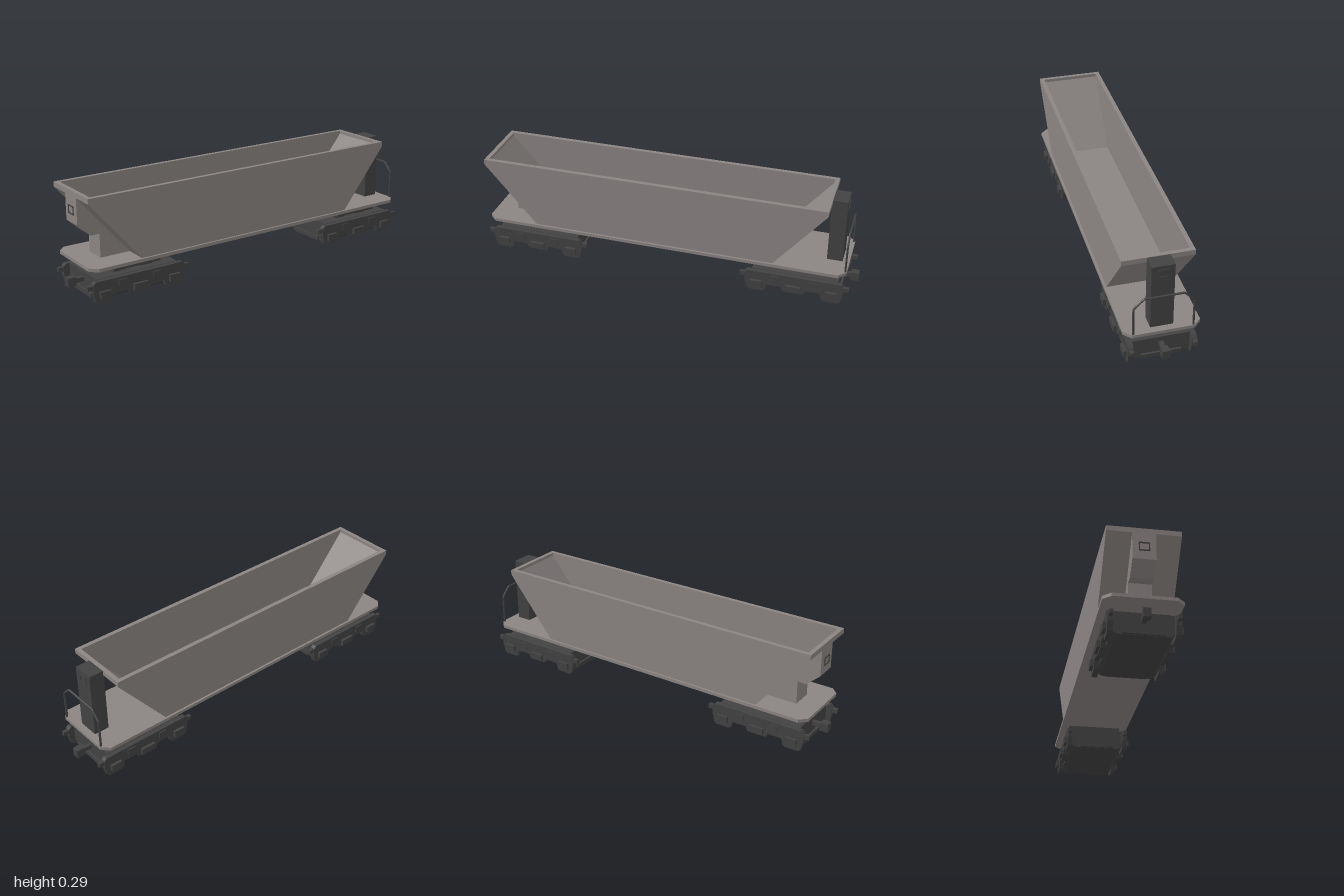
import * as THREE from 'three';

const bodyMat = new THREE.MeshStandardMaterial({ color: 0x8a8482, flatShading: true, side: THREE.DoubleSide });
const darkMat = new THREE.MeshStandardMaterial({ color: 0x424242, flatShading: true });

function add(parent, name, geo, mat) {
  const m = new THREE.Mesh(geo, mat);
  m.name = name;
  parent.add(m);
  return m;
}

// box given by its min and max corners
function box(parent, name, [x0, y0, z0], [x1, y1, z1], mat = darkMat) {
  const g = new THREE.BoxGeometry(x1 - x0, y1 - y0, z1 - z0);
  g.translate((x0 + x1) / 2, (y0 + y1) / 2, (z0 + z1) / 2);
  return add(parent, name, g, mat);
}

// side profile (x, y) extruded from z0 to z1
function slab(parent, name, pts, z0, z1, mat = darkMat) {
  const shape = new THREE.Shape(pts.map(p => new THREE.Vector2(...p)));
  const g = new THREE.ExtrudeGeometry(shape, { depth: z1 - z0, bevelEnabled: false });
  g.translate(0, 0, z0);
  return add(parent, name, g, mat);
}

// square frame standing out from an end face, leaving a recess inside
function hatch(parent, x, y, dir) {
  const s = new THREE.Shape([[-0.014, -0.012], [0.014, -0.012], [0.014, 0.012], [-0.014, 0.012]].map(p => new THREE.Vector2(...p)));
  s.holes.push(new THREE.Path([[-0.011, -0.009], [-0.011, 0.009], [0.011, 0.009], [0.011, -0.009]].map(p => new THREE.Vector2(...p))));
  const m = add(parent, 'hatchFrame', new THREE.ExtrudeGeometry(s, { depth: 0.002, bevelEnabled: false }), darkMat);
  m.position.set(x, y, 0);
  m.rotation.y = dir * Math.PI / 2;
}

// one truck; local +x is the coupler end
function makeBogie() {
  const b = new THREE.Group();
  b.name = 'bogie';
  // central frame with a chamfered underside
  const cross = [[-0.077, 0.062], [-0.077, 0.013], [-0.066, 0.004], [0.066, 0.004], [0.077, 0.013], [0.077, 0.062]];
  const shape = new THREE.Shape(cross.map(p => new THREE.Vector2(...p)));
  const g = new THREE.ExtrudeGeometry(shape, { depth: 0.24, bevelEnabled: false });
  g.translate(0, 0, -0.12);
  g.rotateY(Math.PI / 2);
  add(b, 'truckFrame', g, darkMat);
  box(b, 'lowerBeam', [-0.126, 0.005, -0.053], [0.126, 0.017, 0.053]);
  // bolster plate on four posts
  box(b, 'bolster', [-0.07, 0.075, -0.078], [0.07, 0.092, 0.078]);
  for (const x of [-0.04, 0.04])
    for (const z of [-0.044, 0.044])
      box(b, 'post', [x - 0.018, 0.06, z - 0.009], [x + 0.018, 0.077, z + 0.009]);

  // side frames with hanging shoes, axle bosses and end steps
  for (const s of [-1, 1]) {
    const side = new THREE.Group();
    side.name = 'sideFrame';
    b.add(side);
    const half = [[0.028, 0.010], [0.034, 0.022], [0.074, 0.022], [0.079, 0.004], [0.086, 0],
      [0.124, 0], [0.131, 0.006], [0.137, 0.030], [0.137, 0.054], [0.130, 0.061]];
    const outline = [...half, ...half.slice().reverse().map(([x, y]) => [-x, y])];
    slab(side, 'sidePlate', outline, s > 0 ? 0.076 : -0.09, s > 0 ? 0.09 : -0.076);
    for (const x of [-0.104, 0, 0.104]) {
      const w = x ? 0.016 : 0.021;
      box(side, 'boss', [x - w, 0.015, s * 0.092 - 0.006], [x + w, 0.034, s * 0.092 + 0.006]);
    }
    for (const x of [-0.052, 0.052])
      box(side, 'rib', [x - 0.012, 0.036, s * 0.09 - 0.003], [x + 0.012, 0.054, s * 0.09 + 0.003]);
    for (const e of [-1, 1])
      box(side, 'endStep', [e * 0.14 - 0.012, 0.040, s * 0.083 - 0.005], [e * 0.14 + 0.012, 0.052, s * 0.083 + 0.005]);
  }
  // coupler
  box(b, 'couplerShank', [0.11, 0.036, -0.006], [0.15, 0.048, 0.006]);
  box(b, 'couplerHead', [0.145, 0.03, -0.01], [0.168, 0.054, 0.01]);
  return b;
}

export function createModel() {
  const root = new THREE.Group();
  root.name = 'hopperWagon';

  // deck with chamfered corners
  const q = [[0.952, 0.101], [0.972, 0.081], [0.972, -0.081], [0.952, -0.101],
    [-0.05, -0.101], [-0.07, -0.081], [-0.07, 0.081], [-0.05, 0.101]];
  const deck = slab(root, 'deck', q, 0, 0.009, bodyMat);
  deck.rotation.x = -Math.PI / 2;
  deck.position.y = 0.091;

  // open hopper: two side walls and a trough between them
  const hopper = new THREE.Group();
  hopper.name = 'hopper';
  root.add(hopper);
  const outer = [[-0.07, 0.287], [-0.07, 0.273], [0.082, 0.096], [0.768, 0.096], [0.912, 0.273], [0.912, 0.287]];
  const inner = [[0.9, 0.287], [0.9, 0.278], [0.755, 0.102], [0.092, 0.102], [-0.058, 0.278], [-0.058, 0.287]];
  slab(hopper, 'sideWall', outer, 0.083, 0.095, bodyMat);
  slab(hopper, 'sideWall', outer, -0.095, -0.083, bodyMat);
  slab(hopper, 'trough', [...outer, ...inner], -0.083, 0.083, bodyMat);

  // narrow stepped housing under one slope
  const housing = [[-0.07, 0.275], [-0.07, 0.2], [-0.033, 0.166], [-0.008, 0.166], [-0.008, 0.098], [0.082, 0.098]];
  slab(root, 'endHousing', housing, -0.03, 0.03, bodyMat);
  hatch(root, -0.07, 0.235, -1);

  // column at the other end
  box(root, 'endColumn', [0.91, 0.098, -0.03], [0.953, 0.286, 0.03]);
  hatch(root, 0.953, 0.264, 1);

  // handrail hoop
  const pts = [[0.098, 0.078], [0.18, 0.078], [0.206, 0.052], [0.206, -0.052], [0.18, -0.078], [0.098, -0.078]]
    .map(([y, z]) => new THREE.Vector3(0.968, y, z));
  const path = new THREE.CurvePath();
  for (let i = 1; i < pts.length; i++) path.add(new THREE.LineCurve3(pts[i - 1], pts[i]));
  add(root, 'handrail', new THREE.TubeGeometry(path, 60, 0.003, 6), darkMat);

  // trucks, couplers facing outward
  const right = makeBogie();
  right.position.x = 0.832;
  const left = makeBogie();
  left.position.x = 0.074;
  left.rotation.y = Math.PI;
  root.add(right, left);
  return root;
}
